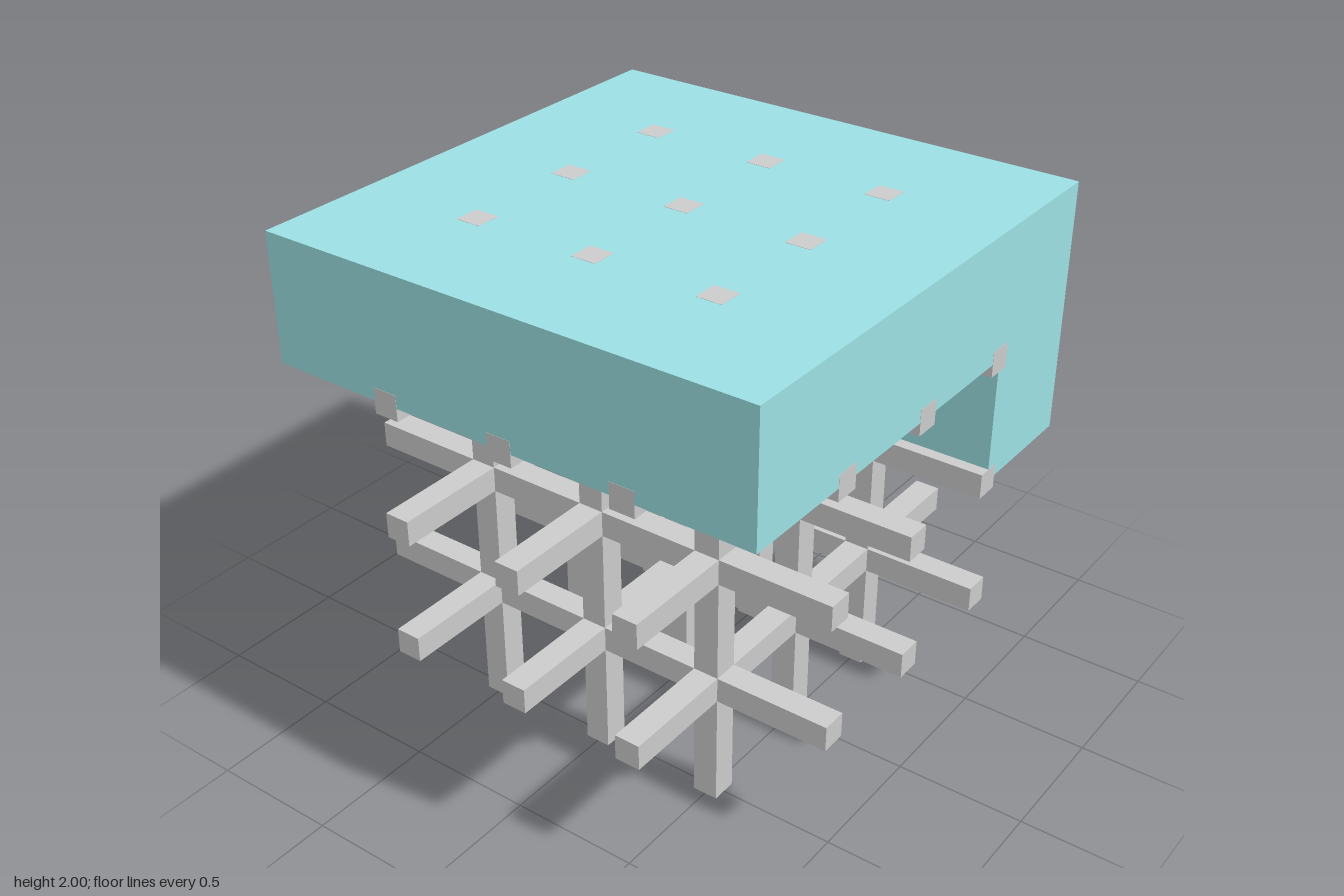
import * as THREE from 'three';

export function createModel() {
  const model = new THREE.Group();
  model.name = 'latticeWithCanopy';
  const grey = new THREE.MeshStandardMaterial({ color: 0xcccccc });
  const teal = new THREE.MeshStandardMaterial({ color: 0x9ce0e4 });

  // Box spanning two opposite corners
  function box(name, min, max, material, parent) {
    const size = max.map((v, i) => v - min[i]);
    const mesh = new THREE.Mesh(new THREE.BoxGeometry(...size), material);
    mesh.position.set(...min.map((v, i) => (v + max[i]) / 2));
    mesh.name = name;
    parent.add(mesh);
  }

  // Lattice: a 3 x 3 set of square bars along each axis, centred on y = 1
  const lattice = new THREE.Group();
  lattice.name = 'lattice';
  lattice.position.y = 1;
  model.add(lattice);
  const half = 0.05;
  const offsets = [-0.5, 0, 0.5];
  ['crossBar', 'post', 'depthBar'].forEach((name, axis) => {
    for (const a of offsets) {
      for (const b of offsets) {
        const centre = [0, 0, 0];
        centre[(axis + 1) % 3] = a;
        centre[(axis + 2) % 3] = b;
        const reach = [half, half, half];
        reach[axis] = 1;
        box(name, centre.map((c, i) => c - reach[i]), centre.map((c, i) => c + reach[i]), grey, lattice);
      }
    }
  });

  // Solid canopy with a block hanging from its back left corner;
  // outer faces sit a hair inside so the bar ends stay visible
  const e = 0.999;
  const canopy = new THREE.Group();
  canopy.name = 'canopy';
  model.add(canopy);
  box('slab', [-e, 1.5, -e], [e, 1 + e, e], teal, canopy);
  box('cornerBlock', [0.5, 1, -e], [e, 1.5, -0.5], teal, canopy);

  return model;
}
